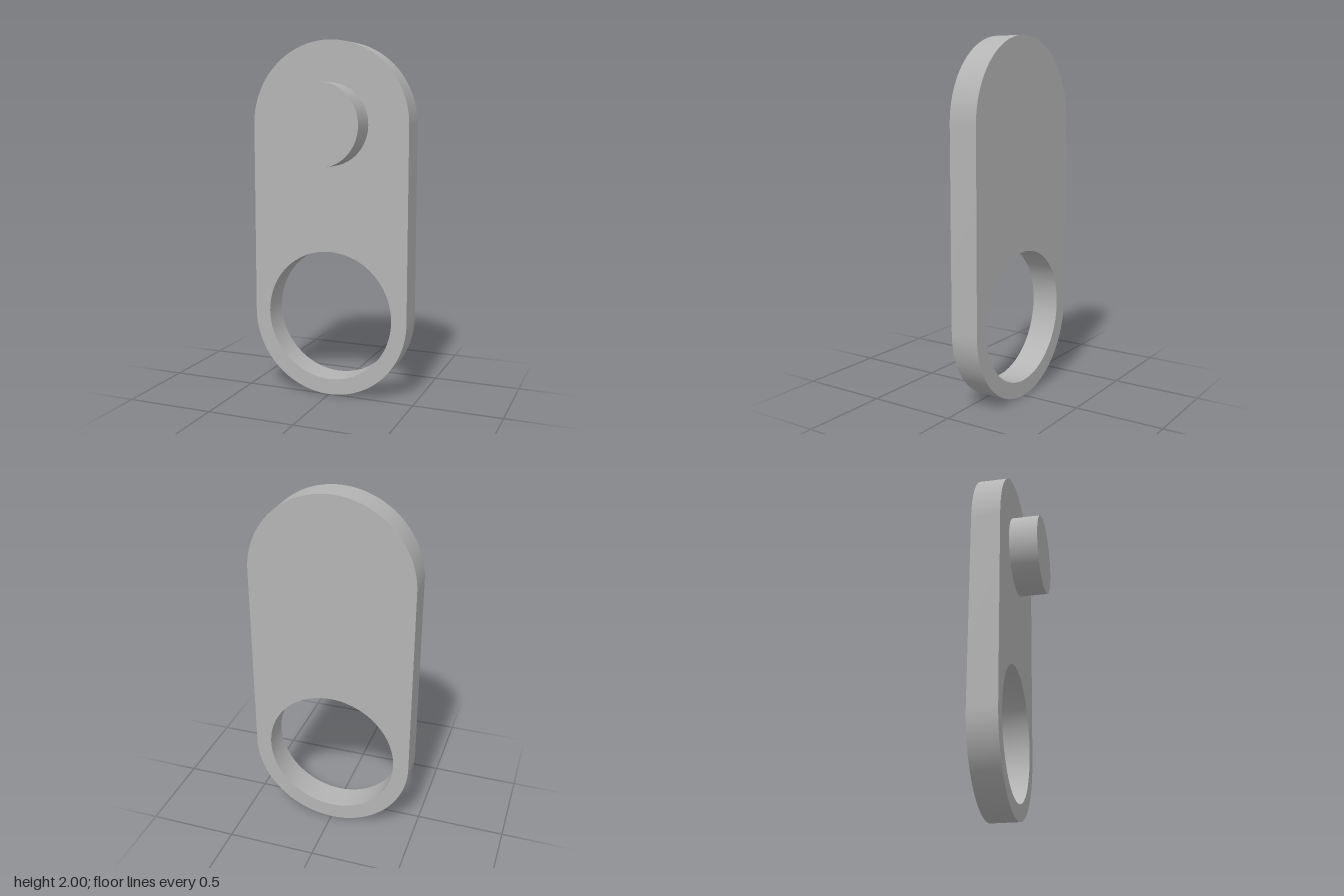
import * as THREE from 'three';
import { toCreasedNormals } from 'three/addons/utils/BufferGeometryUtils.js';

const R = 0.458;          // end radius of the plate
const DEPTH = 0.161;      // plate thickness and pin length
const TOP = 2 - R;        // centre of the upper round end
const HOLE_RADIUS = 0.37;
const PIN_RADIUS = 0.229;

export function createModel() {
  const model = new THREE.Group();
  model.name = 'linkPlateWithPin';
  const grey = new THREE.MeshStandardMaterial({ color: 0xb4b4b4 });
  grey.name = 'light grey';

  // Plate with two round ends and a large hole at the bottom
  const outline = new THREE.Shape();
  outline.absarc(0, TOP, R, 0, Math.PI, false);
  outline.absarc(0, R, R, Math.PI, Math.PI * 2, false);
  outline.closePath();
  const hole = new THREE.Path();
  hole.absarc(0, R + 0.003, HOLE_RADIUS, 0, Math.PI * 2, true);
  outline.holes.push(hole);
  const plateGeometry = new THREE.ExtrudeGeometry(outline, {
    depth: DEPTH, bevelEnabled: false, curveSegments: 48,
  });
  const plate = new THREE.Mesh(toCreasedNormals(plateGeometry, 0.5), grey);
  plate.name = 'plate';
  plate.position.z = -DEPTH;
  model.add(plate);

  // Round pin standing out of the front, centred on the upper end
  const pinGeometry = new THREE.CylinderGeometry(PIN_RADIUS, PIN_RADIUS, DEPTH, 72);
  pinGeometry.rotateX(Math.PI / 2);
  const pin = new THREE.Mesh(pinGeometry, grey);
  pin.name = 'pin';
  pin.position.set(0, TOP, DEPTH / 2);
  model.add(pin);

  return model;
}
